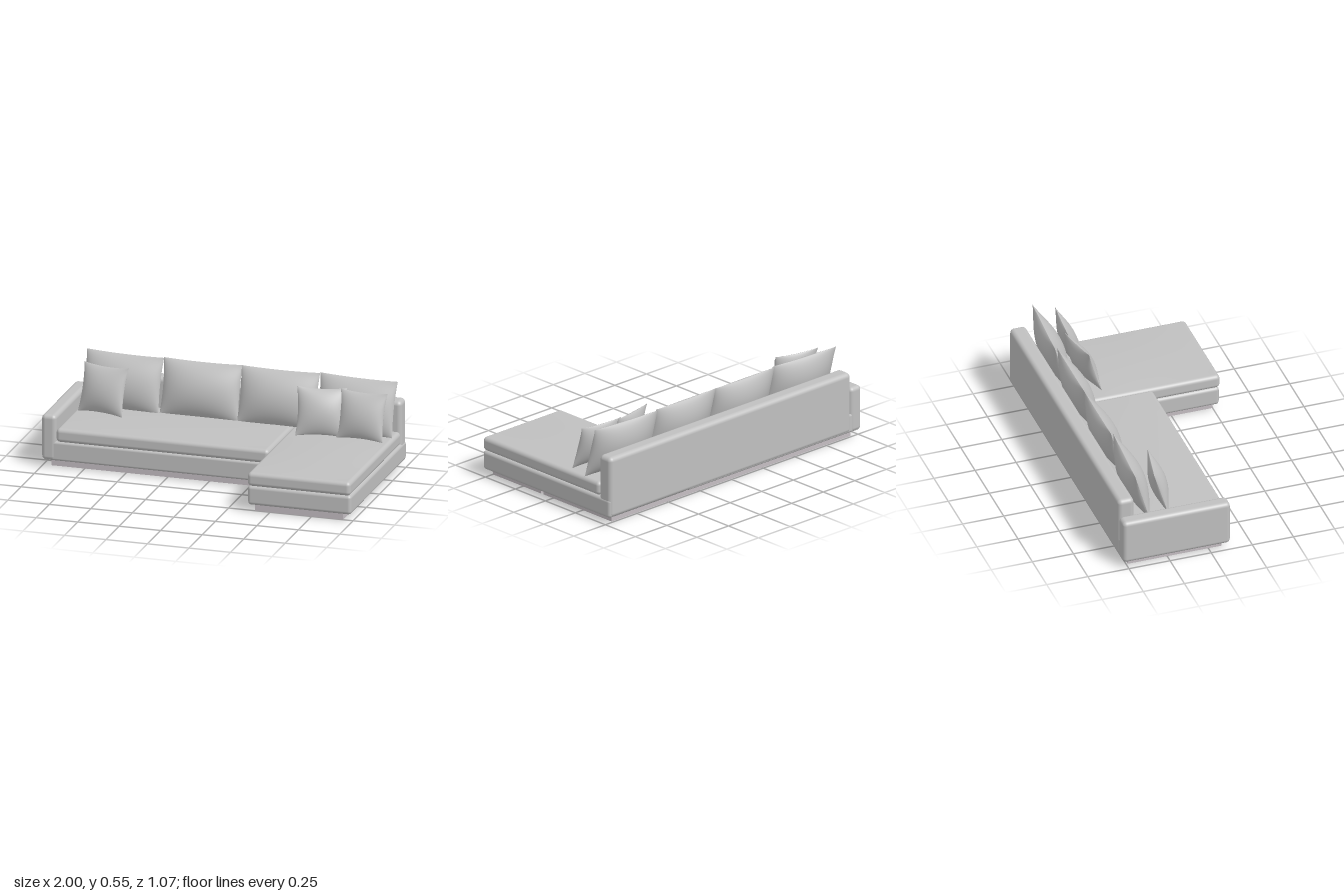
import * as THREE from 'three';
import { RoundedBoxGeometry } from 'three/addons/geometries/RoundedBoxGeometry.js';
import { mergeGeometries } from 'three/addons/utils/BufferGeometryUtils.js';

const fabric = new THREE.MeshStandardMaterial({ color: 0xc0c0c0 });
fabric.name = 'grey fabric';
const plinthPaint = new THREE.MeshStandardMaterial({ color: 0xc4bdc2 });
plinthPaint.name = 'plinth paint';

function add(parent, name, geometry, material = fabric) {
  const mesh = new THREE.Mesh(geometry, material);
  mesh.name = name;
  parent.add(mesh);
  return mesh;
}

// Boxes given by their limits: [x0, x1], [y0, y1], [z0, z1]
function place(geometry, x, y, z) {
  return geometry.translate((x[0] + x[1]) / 2, (y[0] + y[1]) / 2, (z[0] + z[1]) / 2);
}
function softBox(x, y, z, radius) {
  return place(new RoundedBoxGeometry(x[1] - x[0], y[1] - y[0], z[1] - z[0], 5, radius), x, y, z);
}
function hardBox(x, y, z) {
  return place(new THREE.BoxGeometry(x[1] - x[0], y[1] - y[0], z[1] - z[0]), x, y, z);
}

// Seat cushion: rounded slab with a gently crowned top
function seatCushion(parent, name, x, z) {
  const group = new THREE.Group();
  group.name = name;
  parent.add(group);
  const y = [0.155, 0.238], r = 0.024;
  add(group, name + 'Body', softBox(x, y, z, r));
  const w = x[1] - x[0] - 2 * r, d = z[1] - z[0] - 2 * r;
  const crown = new THREE.PlaneGeometry(w, d, 20, 20).rotateX(-Math.PI / 2);
  const p = crown.attributes.position;
  for (let i = 0; i < p.count; i++) {
    const u = (2 * p.getX(i)) / w, v = (2 * p.getZ(i)) / d;
    p.setY(i, 0.01 * (1 - u * u) * (1 - v * v));
  }
  crown.computeVertexNormals();
  crown.translate((x[0] + x[1]) / 2, y[1], (z[0] + z[1]) / 2);
  add(group, name + 'Crown', crown);
}

// Pillow: two bulging faces meeting at a seam whose sides are drawn inwards
function pillowGeometry(w, h, thickness, pinch) {
  const faces = [1, -1].map((side) => {
    const g = new THREE.PlaneGeometry(2, 2, 24, 24);
    const p = g.attributes.position;
    for (let i = 0; i < p.count; i++) {
      // denser rows towards the seam
      const u = Math.sin((p.getX(i) * Math.PI) / 2), v = Math.sin((p.getY(i) * Math.PI) / 2);
      const a = Math.max(0, 1 - u * u), b = Math.max(0, 1 - v * v);
      p.setXYZ(i,
        side * u * (w / 2) * (1 - pinch * b),
        v * (h / 2) * (1 - pinch * a),
        side * (thickness / 2) * Math.pow(a, 0.6) * Math.pow(b, 0.75));
    }
    g.computeVertexNormals();
    return g;
  });
  return mergeGeometries(faces);
}

export function createModel() {
  const sofa = new THREE.Group();
  sofa.name = 'cornerSofa';

  // Recessed plinths
  add(sofa, 'mainPlinth', hardBox([-0.95, 0.94], [0, 0.045], [-0.49, 0.08]), plinthPaint);
  add(sofa, 'chaisePlinth', hardBox([0.41, 0.94], [0, 0.045], [0.1, 0.5]), plinthPaint);

  // Upholstered frame
  add(sofa, 'mainBase', softBox([-0.99, 0.37], [0.041, 0.157], [-0.53, 0.117], 0.015));
  add(sofa, 'chaiseBase', softBox([0.372, 0.995], [0.041, 0.157], [-0.53, 0.53], 0.02));
  add(sofa, 'backrest', softBox([-0.915, 0.992], [0.043, 0.415], [-0.535, -0.436], 0.027));
  add(sofa, 'armrest', softBox([-1, -0.912], [0.04, 0.315], [-0.533, 0.12], 0.025));

  // Seats
  seatCushion(sofa, 'mainSeat', [-0.912, 0.37], [-0.437, 0.122]);
  seatCushion(sofa, 'chaiseSeat', [0.372, 0.992], [-0.437, 0.535]);

  // Back pillows: x, z, yaw
  const backPillow = pillowGeometry(0.475, 0.328, 0.145, 0.035);
  [[-0.663, -0.366, -0.06], [-0.19, -0.365, 0], [0.275, -0.365, 0], [0.745, -0.365, -0.06]]
    .forEach(([x, z, yaw], i) => {
      const mesh = add(sofa, 'backPillow' + (i + 1), backPillow);
      mesh.position.set(x, 0.393, z);
      mesh.rotation.set(-0.28, yaw, 0, 'YXZ');
    });

  // Small scatter pillows: x, z, yaw, roll
  const scatterPillow = pillowGeometry(0.29, 0.285, 0.1, 0.075);
  [[-0.737, -0.232, -0.2, 0.01], [0.575, -0.232, 0.2, -0.01], [0.818, -0.235, -0.08, 0.01]]
    .forEach(([x, z, yaw, roll], i) => {
      const mesh = add(sofa, 'scatterPillow' + (i + 1), scatterPillow);
      mesh.position.set(x, 0.38, z);
      mesh.rotation.set(-0.3, yaw, roll, 'YXZ');
    });

  return sofa;
}
